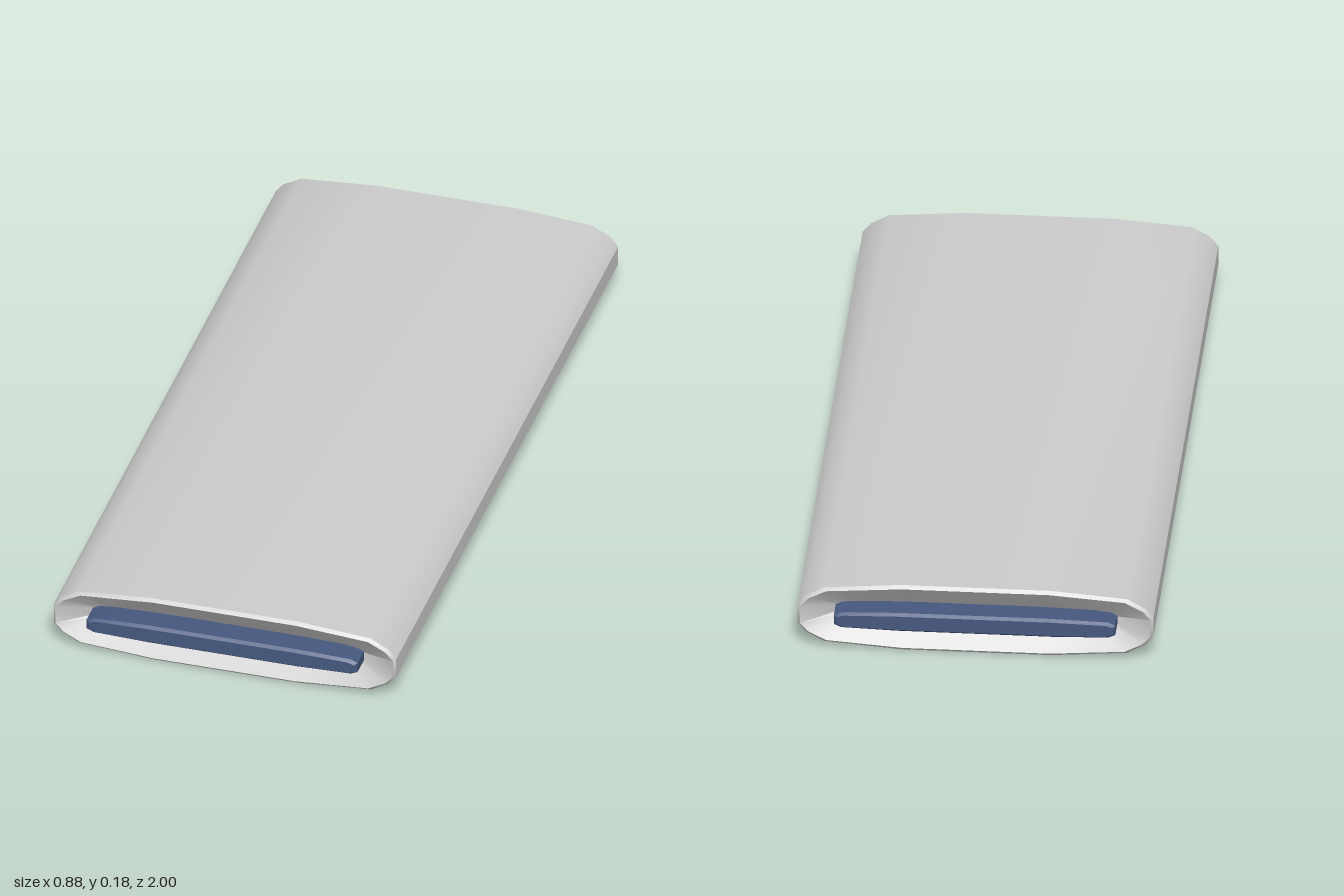
import * as THREE from 'three';
import { toCreasedNormals } from 'three/addons/utils/BufferGeometryUtils.js';

// Mirror a quarter outline (top centre to right side) into a full loop, counter-clockwise from +z.
function outline(quarter) {
  const q = quarter.slice().reverse();
  return [
    ...q,
    ...quarter.map(([x, y]) => [-x, y]),
    ...q.map(([x, y]) => [-x, -y]),
    ...quarter.map(([x, y]) => [x, -y]),
  ];
}

// Loft an outline through sections [z, xScale, yScale], optionally capping the ends.
function loft(loop, sections, crease, capped) {
  const n = loop.length, pos = [], index = [];
  for (const [z, sx, sy] of sections)
    for (const [x, y] of loop) pos.push(x * sx, y * sy, z);
  for (let s = 0; s < sections.length - 1; s++)
    for (let i = 0; i < n; i++) {
      const a = s * n + i, b = s * n + (i + 1) % n;
      index.push(a, b, b + n, a, b + n, a + n);
    }
  if (capped) {
    const last = (sections.length - 1) * n;
    for (let i = 1; i < n - 1; i++)
      index.push(0, i + 1, i, last, last + i, last + i + 1);
  }
  const geo = new THREE.BufferGeometry();
  geo.setAttribute('position', new THREE.Float32BufferAttribute(pos, 3));
  geo.setIndex(index);
  return toCreasedNormals(geo, crease);
}

export function createModel() {
  const group = new THREE.Group();
  const add = (name, geo, color) => {
    const mesh = new THREE.Mesh(geo, new THREE.MeshStandardMaterial({ color }));
    mesh.name = name;
    mesh.position.y = 0.09;
    group.add(mesh);
  };
  const bothEnds = (half) => [...half.map(([z, x, y]) => [-z, x, y]), ...half.slice().reverse()];

  // Flat sleeve with a bevelled rim and a funnel recessed into each end
  const sleeve = outline([[0.185, 0.09], [0.375, 0.075], [0.42, 0.05], [0.44, 0.026]]);
  add('sleeve', loft(sleeve, bothEnds([
    [0.93, 0.77, 0.26],
    [0.975, 0.985, 0.91],
    [0.967, 1, 1],
  ]), 0.6, false), 0xcccccc);

  // Thin core plate that passes through the sleeve and shows at both ends
  const core = outline([[0.19, 0.025], [0.33, 0.021], [0.348, 0.013]]);
  add('corePlate', loft(core, bothEnds([
    [1, 0.98, 0.74],
    [0.992, 1, 1],
  ]), 0.5, true), 0x46587f);

  return group;
}
